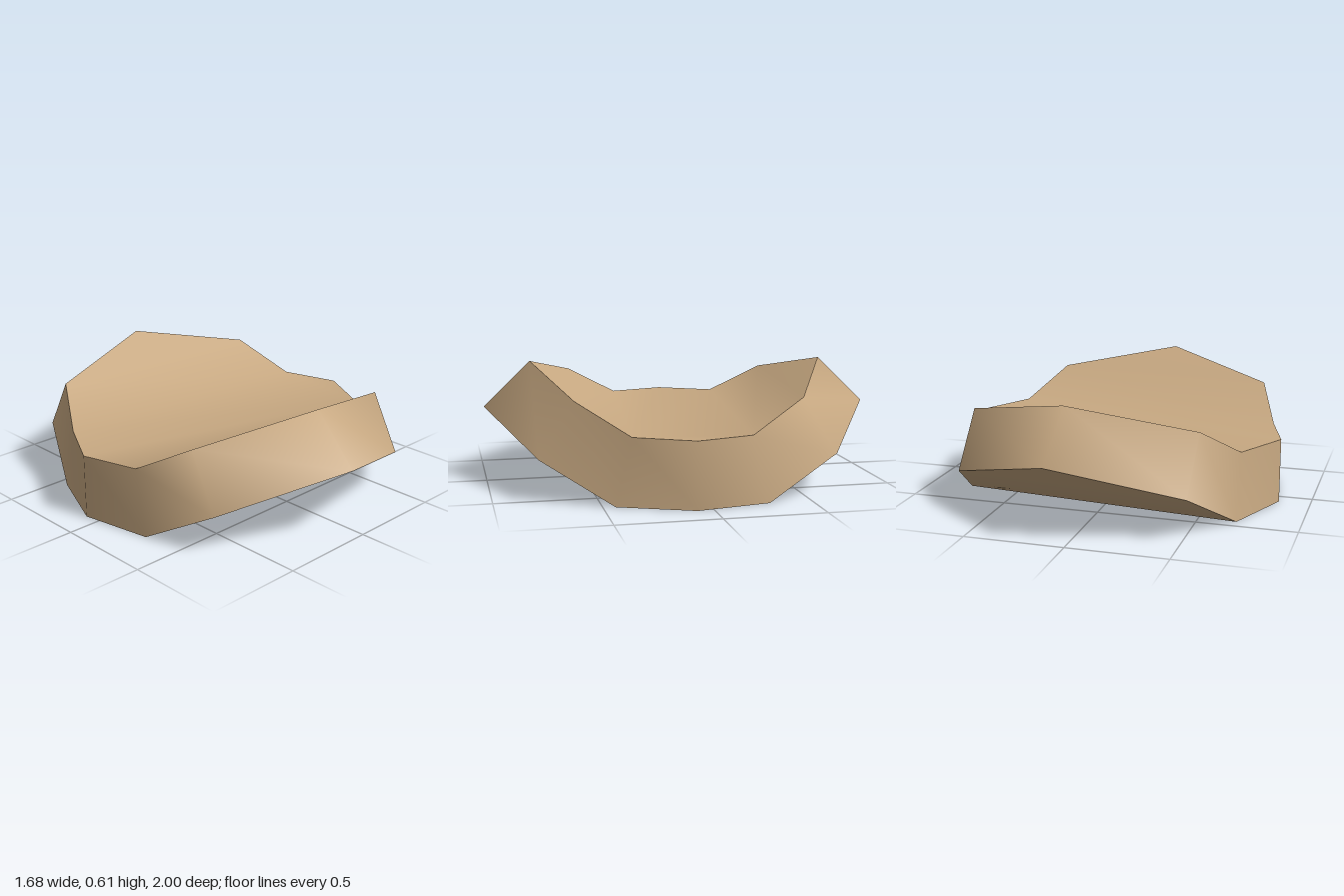
import * as THREE from 'three';

// Half of each rim, front tip round to the back right; the other half is turned 180 degrees.
const topHalf = [
  [-0.08, 0.605, 0.76], [0.54, 0.485, 0.61], [0.69, 0.33, 0.36],
  [0.84, 0.33, 0.08], [0.755, 0.33, -0.21], [0.65, 0.485, -0.49],
];
const bottomHalf = [
  [-0.10, 0.37, 1.0], [0.52, 0.205, 0.78], [0.69, 0, 0.44],
  [0.84, 0, 0.08], [0.77, 0, -0.29], [0.67, 0.205, -0.66],
];
const fullRim = (half) => [...half, ...half.map(([x, y, z]) => [-x, y, -z])];

function makeGeometry(points, index) {
  const geometry = new THREE.BufferGeometry();
  geometry.setAttribute('position', new THREE.Float32BufferAttribute(points.flat(), 3));
  geometry.setIndex(index);
  geometry.computeVertexNormals();
  return geometry;
}

// Strips across the saddle: raised ends, slopes and a level middle
function capIndex(flip) {
  const polygons = [[0, 1, 11], [1, 2, 10, 11], [2, 3, 4, 8, 9, 10], [4, 5, 7, 8], [5, 6, 7]];
  const index = [];
  for (const p of polygons) {
    for (let i = 1; i < p.length - 1; i++) {
      index.push(...(flip ? [p[0], p[i + 1], p[i]] : [p[0], p[i], p[i + 1]]));
    }
  }
  return index;
}

export function createModel() {
  const group = new THREE.Group();
  group.name = 'curvedSlab';
  const tan = new THREE.MeshStandardMaterial({ color: 0xc8a982 });
  tan.name = 'tan';

  const top = fullRim(topHalf);
  const bottom = fullRim(bottomHalf);
  const n = top.length;

  // Wall joining the two rims
  const wallIndex = [];
  for (let i = 0; i < n; i++) {
    const j = (i + 1) % n;
    wallIndex.push(i, n + i, n + j, i, n + j, j);
  }

  const add = (name, geometry) => {
    const mesh = new THREE.Mesh(geometry, tan);
    mesh.name = name;
    group.add(mesh);
  };
  add('topSurface', makeGeometry(top, capIndex(false)));
  add('underside', makeGeometry(bottom, capIndex(true)));
  add('sideWall', makeGeometry([...top, ...bottom], wallIndex));
  return group;
}
